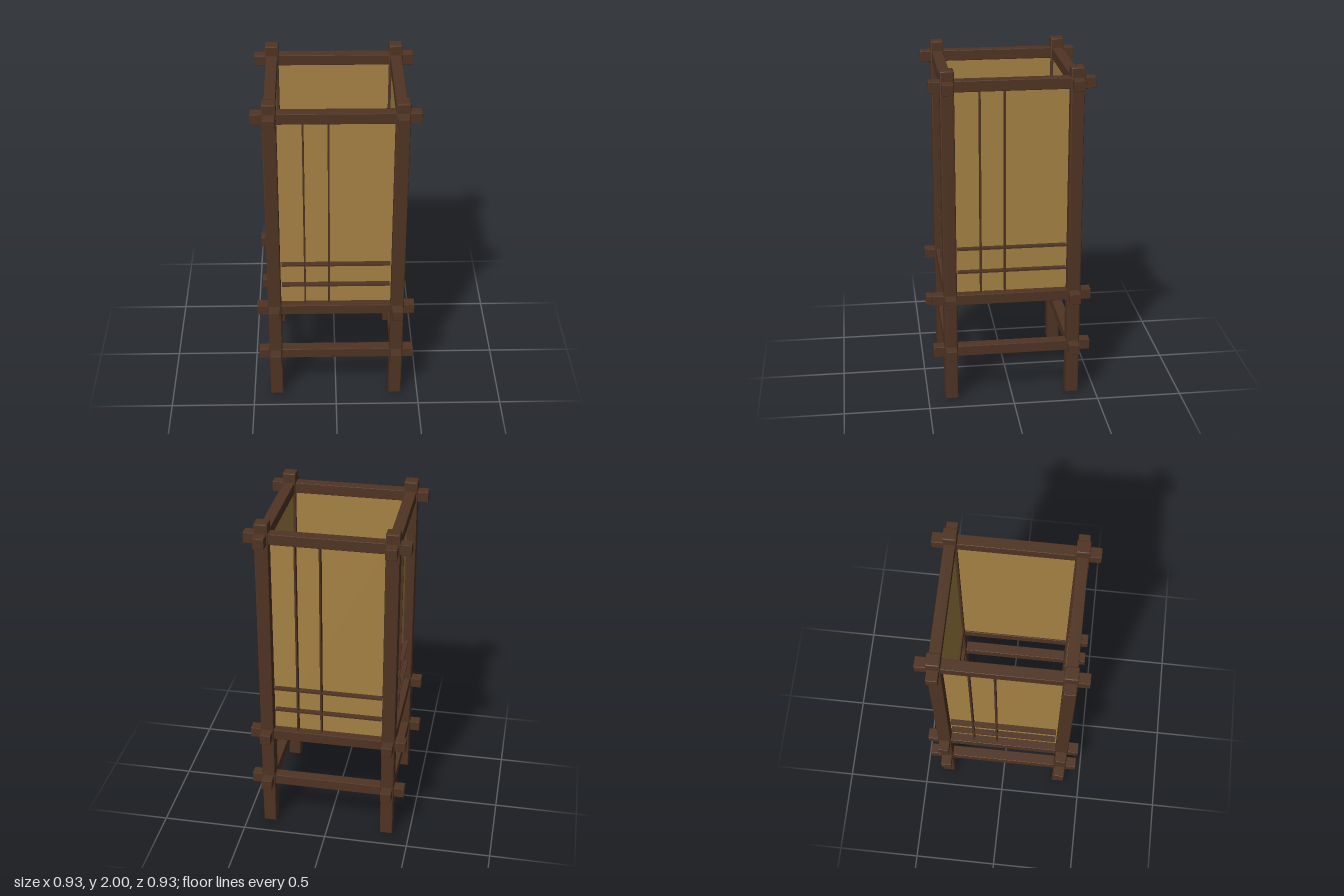
import * as THREE from 'three';
import { toCreasedNormals } from 'three/addons/utils/BufferGeometryUtils.js';
import { RoundedBoxGeometry } from 'three/addons/geometries/RoundedBoxGeometry.js';

const wood = new THREE.MeshStandardMaterial({ name: 'darkWood', color: 0x4f3423 });
const paper = new THREE.MeshStandardMaterial({ name: 'amberPaper', color: 0xa58244 });

const OFFSET = 0.361; // distance of posts and rails from the centre axis

function addBox(parent, name, material, size, position, bevel = 0) {
  const geometry = bevel
    ? toCreasedNormals(new RoundedBoxGeometry(...size, 1, bevel), 0.3)
    : new THREE.BoxGeometry(...size);
  const mesh = new THREE.Mesh(geometry, material);
  mesh.name = name;
  mesh.position.set(...position);
  parent.add(mesh);
}

// One side of the lantern, facing +z
function createSide() {
  const side = new THREE.Group();
  side.name = 'lanternSide';

  // Corner post running the full height
  addBox(side, 'cornerPost', wood, [0.078, 2, 0.078], [-OFFSET, 1, OFFSET], 0.007);

  // Rails that cross the posts and stick out past them
  for (const [name, y] of [['topRail', 1.91], ['lowerRail', 0.638], ['stretcher', 0.31]]) {
    addBox(side, name, wood, [0.926, 0.063, 0.064], [0, y, OFFSET], 0.003);
  }

  // Paper screen
  addBox(side, 'paperScreen', paper, [0.66, 1.24, 0.006], [0, 1.274, 0.341]);

  // Thin lattice strips standing out from the screen
  for (const x of [-0.18, -0.04]) {
    addBox(side, 'verticalStrip', wood, [0.01, 1.22, 0.034], [x, 1.285, 0.36]);
  }
  for (const y of [0.945, 0.802]) {
    addBox(side, 'horizontalStrip', wood, [0.63, 0.01, 0.034], [0, y, 0.36]);
  }
  return side;
}

export function createModel() {
  const model = new THREE.Group();
  model.name = 'floorLantern';
  // The same side repeats around all four faces
  for (let i = 0; i < 4; i++) {
    const side = createSide();
    side.rotation.y = (i * Math.PI) / 2;
    model.add(side);
  }
  return model;
}
